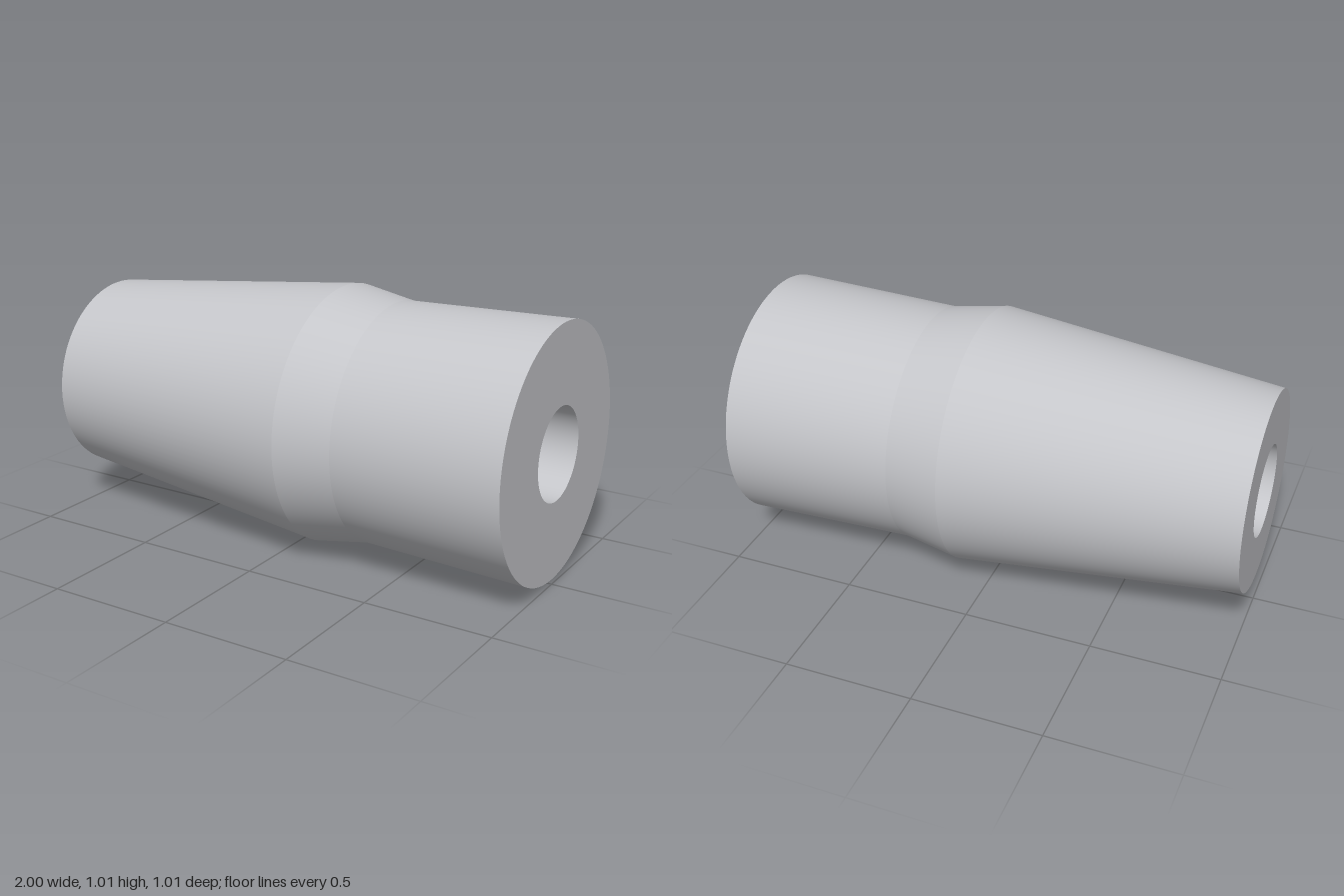
import * as THREE from 'three';

const SIDES = 96;
const AXIS_Y = 0.505;

export function createModel() {
  const model = new THREE.Group();
  model.name = 'taperedSleeve';
  const grey = new THREE.MeshStandardMaterial({ color: 0xc4c5c9 });
  grey.name = 'light grey';

  // Closed section of the sleeve: [radius, position along x]
  const profile = [
    [0.178, -1], [0.387, -1], [0.505, 0.11], [0.466, 0.33], [0.485, 1], [0.178, 1],
  ];
  const names = ['narrowEndFace', 'longTaper', 'shoulder', 'collar', 'wideEndFace', 'bore'];

  // Each stretch is its own surface of revolution, so the edges between them stay sharp
  names.forEach((name, i) => {
    const ends = [profile[i], profile[(i + 1) % profile.length]];
    const geometry = new THREE.LatheGeometry(ends.map(([r, x]) => new THREE.Vector2(r, x)), SIDES);
    geometry.rotateZ(-Math.PI / 2);
    geometry.translate(0, AXIS_Y, 0);
    const mesh = new THREE.Mesh(geometry, grey);
    mesh.name = name;
    model.add(mesh);
  });

  return model;
}
